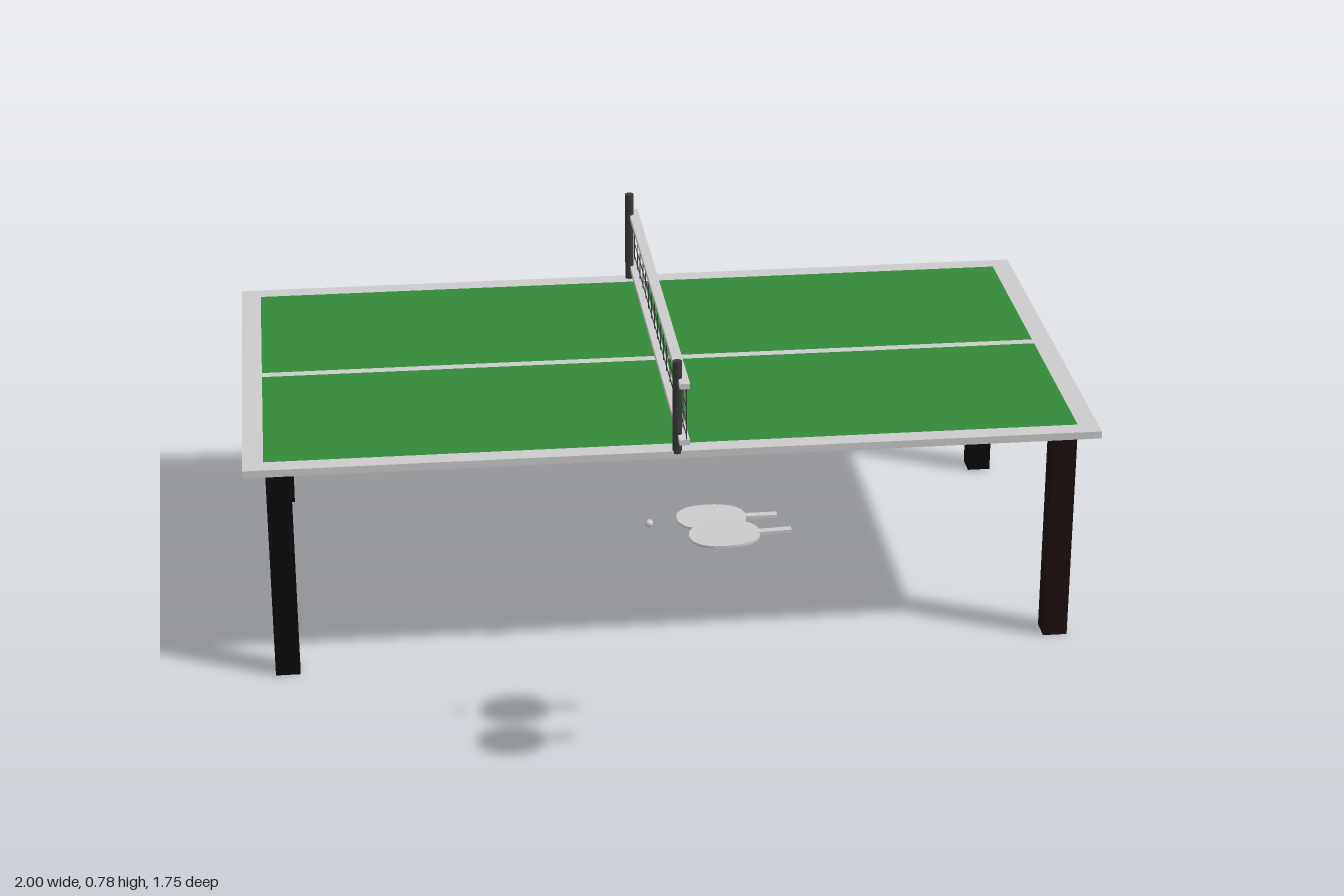
import * as THREE from 'three';

const mat = (color) => new THREE.MeshStandardMaterial({ color });
const grey = mat(0xcccccc);
const green = mat(0x338839);
const black = mat(0x0b0b0b);
const brown = mat(0x1e1010);
const charcoal = mat(0x3a3a3a);

function add(parent, name, geometry, material, x = 0, y = 0, z = 0) {
  const mesh = new THREE.Mesh(geometry, material);
  mesh.name = name;
  mesh.position.set(x, y, z);
  parent.add(mesh);
  return mesh;
}

// Box given by its limits on each axis
function span(parent, name, material, [x0, x1], [y0, y1], [z0, z1]) {
  return add(parent, name, new THREE.BoxGeometry(x1 - x0, y1 - y0, z1 - z0), material,
    (x0 + x1) / 2, (y0 + y1) / 2, (z0 + z1) / 2);
}

function createTable() {
  const table = new THREE.Group();
  table.name = 'table';
  const top = [0.535, 0.553];

  // Border frame with a centre line, the playing surface filling it
  span(table, 'endBorder', grey, [-1, -0.952], top, [-0.855, 0.25]);
  span(table, 'endBorder', grey, [0.952, 1], top, [-0.855, 0.25]);
  span(table, 'sideBorder', grey, [-0.952, 0.952], top, [-0.855, -0.81]);
  span(table, 'sideBorder', grey, [-0.952, 0.952], top, [0.205, 0.25]);
  span(table, 'centreLine', grey, [-0.952, 0.952], top, [-0.315, -0.29]);
  span(table, 'playingSurface', green, [-0.952, 0.952], top, [-0.81, -0.315]);
  span(table, 'playingSurface', green, [-0.952, 0.952], top, [-0.29, 0.205]);

  // Square legs, one in a browner finish
  for (const x of [-0.92, 0.923]) {
    for (const z of [-0.773, 0.18]) {
      const finish = x > 0 && z > 0 ? brown : black;
      add(table, 'leg', new THREE.BoxGeometry(0.058, 0.535, 0.058), finish, x, 0.2675, z);
    }
  }
  return table;
}

function createNet() {
  const group = new THREE.Group();
  group.name = 'netAssembly';

  // Posts
  const post = new THREE.CylinderGeometry(0.011, 0.011, 0.23, 16);
  add(group, 'netPost', post, charcoal, 0, 0.662, 0.243);
  add(group, 'netPost', post, charcoal, 0, 0.668, -0.84);

  // Net hangs with a very slight slope along its length
  const net = new THREE.Group();
  net.name = 'net';
  net.position.set(0.013, 0.655, -0.298);
  net.rotation.x = -0.007;
  const length = 1.162;
  for (const y of [-0.07, 0.07]) {
    add(net, 'netBand', new THREE.BoxGeometry(0.024, 0.013, length), grey, 0, y, 0);
  }
  // Strings
  const upright = new THREE.BoxGeometry(0.002, 0.13, 0.002);
  const strand = new THREE.BoxGeometry(0.002, 0.002, length);
  const count = 17;
  for (let i = 0; i <= count; i++) {
    add(net, 'netUpright', upright, charcoal, 0.004, 0, (i / count - 0.5) * (length - 0.01));
  }
  for (let i = 0; i < 4; i++) {
    add(net, 'netStrand', strand, charcoal, 0.004, -0.0525 + i * 0.035, 0);
  }
  group.add(net);
  return group;
}

// Bat lying flat, handle towards +x
function createBat(x, y, z, tilt) {
  const bat = new THREE.Group();
  bat.name = 'bat';
  const thickness = 0.006;
  const outline = [];
  for (let i = 0; i < 40; i++) {
    const a = (i / 40) * Math.PI * 2;
    const soft = (v) => Math.sign(v) * Math.abs(v) ** 0.88;
    outline.push(new THREE.Vector2(0.077 * soft(Math.cos(a)), 0.062 * soft(Math.sin(a))));
  }
  const blade = new THREE.ExtrudeGeometry(new THREE.Shape(outline), {
    depth: thickness, bevelEnabled: false,
  });
  blade.translate(0, 0, -thickness / 2);
  blade.rotateX(-Math.PI / 2);
  add(bat, 'batBlade', blade, grey);
  add(bat, 'batHandle', new THREE.BoxGeometry(0.075, 0.007, 0.017), grey, 0.108, 0, 0);
  bat.position.set(x, y, z);
  bat.rotation.z = tilt;
  return bat;
}

export function createModel() {
  const model = new THREE.Group();
  model.name = 'tableTennisSet';
  model.add(createTable(), createNet());
  model.add(createBat(0.028, 0.575, 0.655, 0), createBat(0.037, 0.61, 0.813, 0.03));
  add(model, 'ball', new THREE.SphereGeometry(0.009, 20, 14), grey, -0.108, 0.562, 0.641);
  return model;
}
